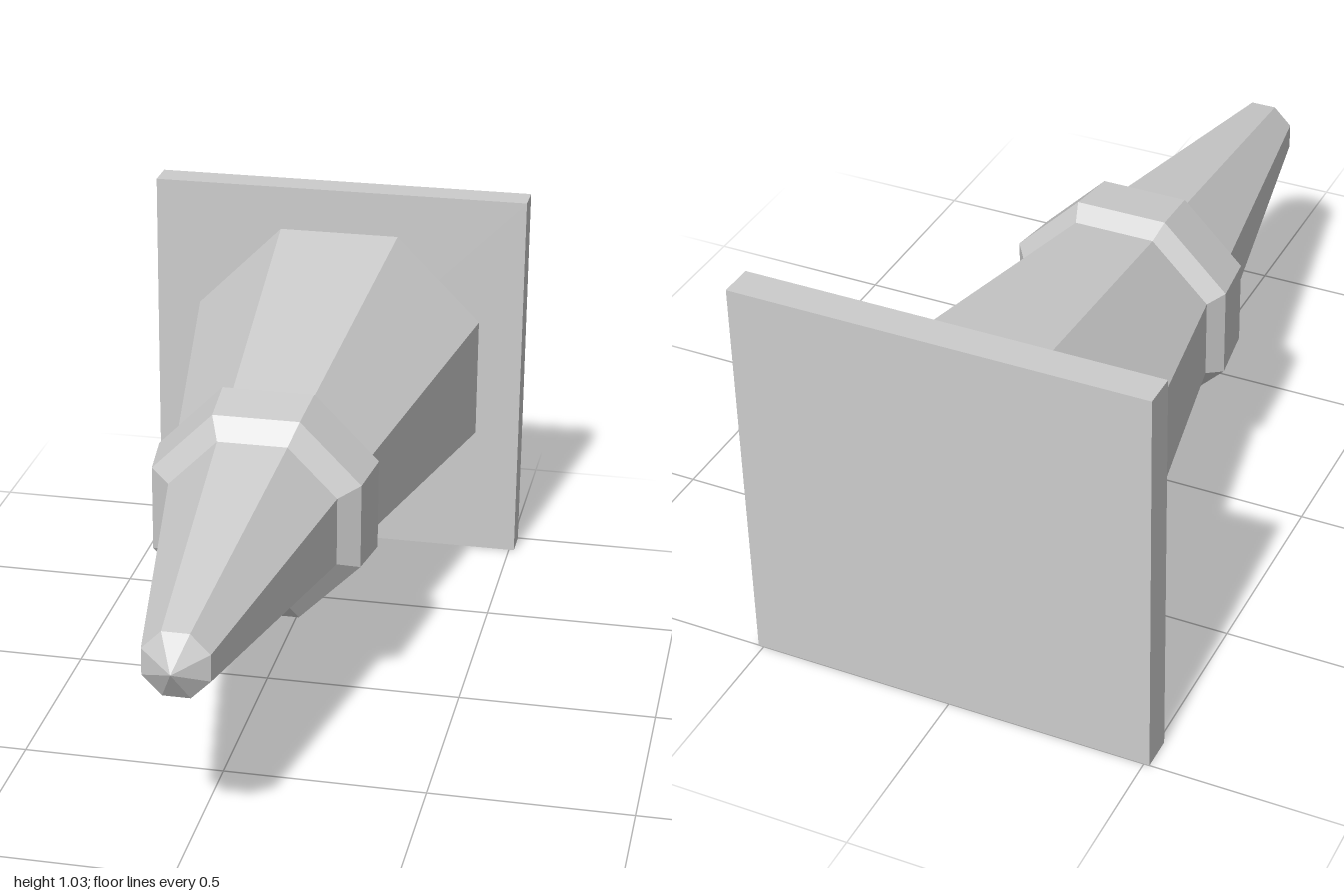
import * as THREE from 'three';

const CENTER_Y = 0.514;
const BACK_Z = -0.915;

export function createModel() {
  const model = new THREE.Group();
  model.name = 'trafficCone';
  const grey = new THREE.MeshStandardMaterial({ color: 0xcccccc, flatShading: true });
  grey.name = 'lightGrey';

  const add = (name, geometry) => {
    const mesh = new THREE.Mesh(geometry, grey);
    mesh.name = name;
    model.add(mesh);
    return mesh;
  };

  // Eight-sided section along z; rings are [z, distance from axis to flat side]
  const addSection = (name, rings) => {
    const points = rings.map(([z, flat]) => new THREE.Vector2(flat / Math.cos(Math.PI / 8), z));
    const geometry = new THREE.LatheGeometry(points, 8, Math.PI / 8);
    geometry.rotateX(Math.PI / 2);
    add(name, geometry).position.y = CENTER_Y;
  };

  // Square foot plate, standing upright at the back
  add('basePlate', new THREE.BoxGeometry(1.028, 1.028, 1 + BACK_Z))
    .position.set(0, CENTER_Y, (BACK_Z - 1) / 2);

  // Cone body, raised collar and pointed tip
  addSection('lowerCone', [[BACK_Z, 0.394], [-0.053, 0.249]]);
  addSection('collar', [[-0.053, 0.249], [-0.01, 0.281], [0.132, 0.264], [0.174, 0.212]]);
  addSection('upperCone', [[0.174, 0.212], [0.947, 0.08]]);
  addSection('tip', [[0.947, 0.08], [1, 0]]);

  return model;
}
